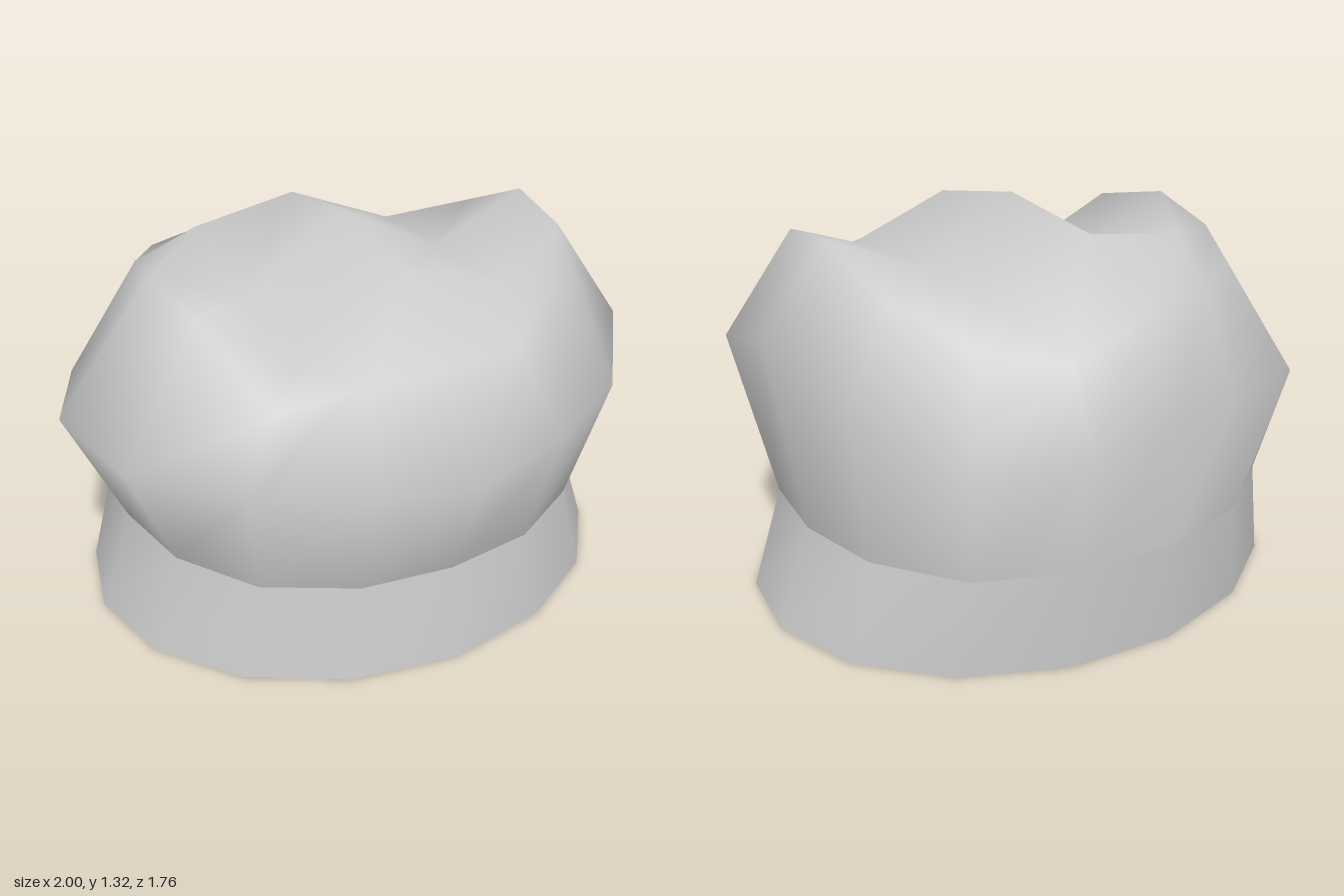
import * as THREE from 'three';

const SIDES = 16;
const CENTRE = { x: 0.04, z: -0.05 };

// Smoothly blends evenly spaced values around the hat (t from 0 to 1; 0 = +x, 0.25 = front).
function around(keys, t) {
  const i = Math.floor(t * keys.length);
  const f = (1 - Math.cos((t * keys.length - i) * Math.PI)) / 2;
  return keys[i % keys.length] * (1 - f) + keys[(i + 1) % keys.length] * f;
}

// One closed cross-section with radius and height varying around it.
function ring(radii, heights, depth = 1, sides = SIDES) {
  const points = [];
  for (let k = 0; k < sides; k++) {
    const t = k / sides;
    const a = t * Math.PI * 2;
    const r = around(radii, t);
    points.push([
      CENTRE.x + r * Math.cos(a),
      around(heights, t),
      CENTRE.z + r * Math.sin(a) * depth,
    ]);
  }
  return points;
}

// Faces joining consecutive rings from bottom to top.
function wallFaces(ringCount) {
  const index = [];
  for (let j = 0; j < ringCount - 1; j++) {
    for (let k = 0; k < SIDES; k++) {
      const n = (k + 1) % SIDES;
      const a = j * SIDES + k, b = j * SIDES + n;
      index.push(a, a + SIDES, b, b, a + SIDES, b + SIDES);
    }
  }
  return index;
}

// Number of the point at column i, row j of the 5 x 5 top: 16 rim points, 8 inner ones, then the peak.
function topPoint(i, j) {
  const h = Math.max(Math.abs(i), Math.abs(j));
  if (h === 0) return 24;
  let k;
  if (i === h) k = (j + 8 * h) % (8 * h);
  else if (j === h) k = 2 * h - i;
  else if (i === -h) k = 4 * h - j;
  else k = 6 * h + i;
  return h === 2 ? k : 16 + k;
}

// Square grid of faces closing the crown, counted from the first rim point.
function topFaces(start) {
  const index = [];
  for (let j = -2; j < 2; j++) {
    for (let i = -2; i < 2; i++) {
      const a = start + topPoint(i, j), b = start + topPoint(i + 1, j);
      const c = start + topPoint(i, j + 1), d = start + topPoint(i + 1, j + 1);
      index.push(a, c, b, b, c, d);
    }
  }
  return index;
}

function cloth(name, points, index) {
  const geometry = new THREE.BufferGeometry();
  geometry.setAttribute('position', new THREE.Float32BufferAttribute(points.flat(), 3));
  geometry.setIndex(index);
  geometry.computeVertexNormals();
  const material = new THREE.MeshStandardMaterial({ color: 0xcccccc, side: THREE.DoubleSide });
  const mesh = new THREE.Mesh(geometry, material);
  mesh.name = name;
  return mesh;
}

export function createModel() {
  const hat = new THREE.Group();
  hat.name = 'puffyHat';

  const hem = ring([0.96], [0], 0.854);
  const neck = ring([0.84, 0.84, 0.81, 0.86, 0.84, 0.88, 0.87, 0.91], [0.33, 0.345], 0.95);
  const bulge = ring(
    [0.96, 0.97, 0.95, 0.91, 0.93, 0.92, 0.95, 1.04, 1.04, 0.96, 0.96, 0.82, 0.8, 0.87, 0.93, 0.95],
    [1.0, 0.8, 0.74, 0.75, 0.78, 0.72, 0.74, 0.68]
  );
  // Rim of the top, raised at both sides
  const rim = ring(
    [0.72, 0.74, 0.73, 0.72, 0.73, 0.71, 0.72, 0.71, 0.7, 0.71, 0.72, 0.7, 0.68, 0.69, 0.72, 0.74],
    [1.27, 1.24, 1.14, 1.03, 1.06, 1.02, 0.92, 1.17, 1.22, 1.155, 1.1, 1.08, 1.06, 0.95, 1.0, 1.14]
  );
  // Inner points of the top: two valleys beside a middle ridge
  const valleys = ring(
    [0.37, 0.545, 0.4, 0.55, 0.38, 0.55, 0.4, 0.545],
    [1.12, 1.125, 1.25, 0.985, 1.09, 1.19, 1.25, 1.09],
    1,
    8
  );
  const peak = [CENTRE.x, 1.315, CENTRE.z];

  // Flared band, open underneath
  hat.add(cloth('band', [...hem, ...neck], wallFaces(2)));
  // Soft lumpy crown
  hat.add(cloth(
    'crown',
    [...neck, ...bulge, ...rim, ...valleys, peak],
    [...wallFaces(3), ...topFaces(2 * SIDES)]
  ));
  return hat;
}
